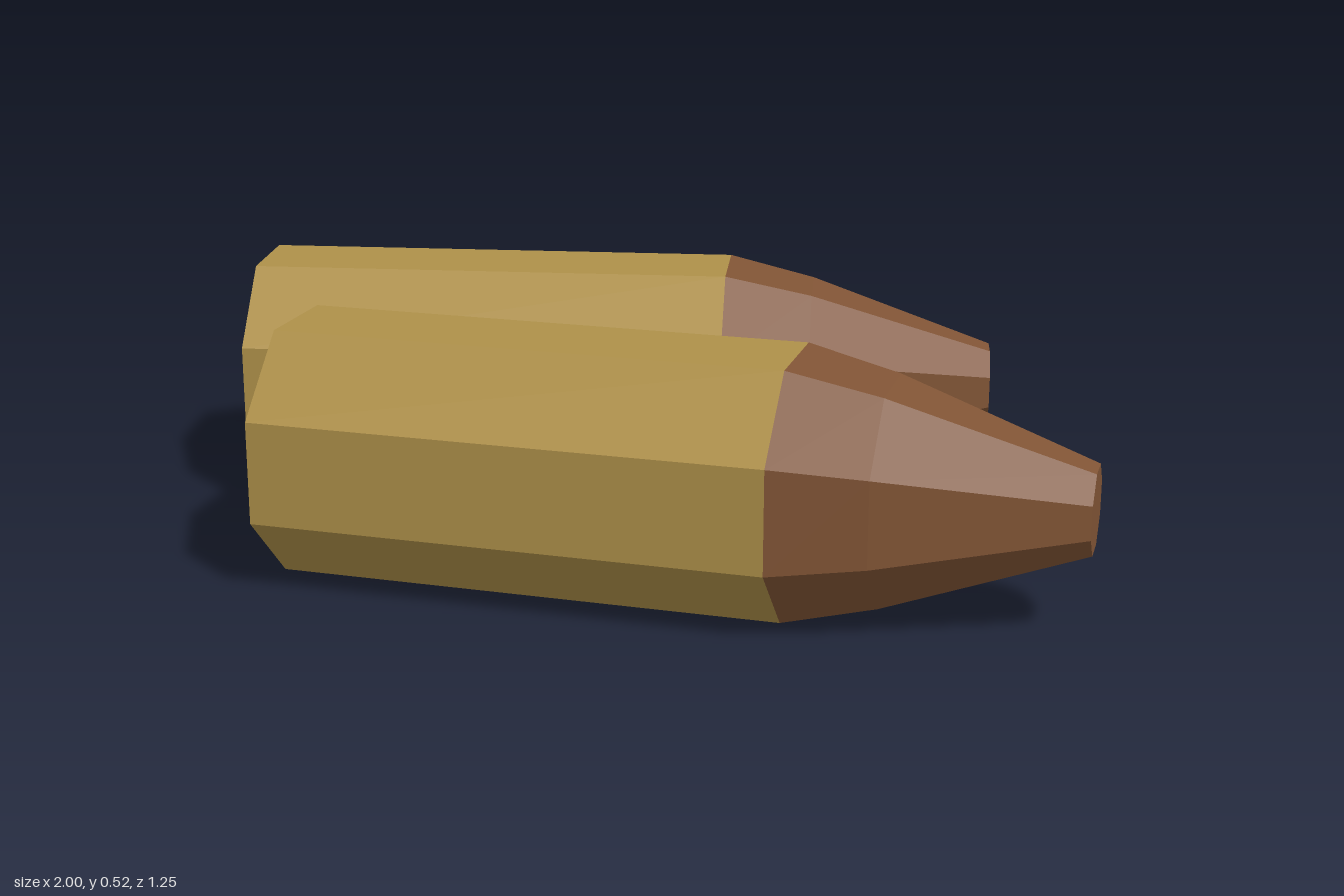
import * as THREE from 'three';

const SIDES = 8;
const APOTHEM = 0.2625;
const CORNER = 1 / Math.cos(Math.PI / SIDES); // flat-to-corner radius ratio

const brass = new THREE.MeshStandardMaterial({ name: 'brass', color: 0xae9049, flatShading: true });
const copper = new THREE.MeshStandardMaterial({ name: 'copper', color: 0x805435, flatShading: true });

// Octagonal turned part along +x; profile is [flat radius, distance along axis]
function turned(name, profile, material) {
  const points = profile.map(([r, d]) => new THREE.Vector2(r * CORNER, d));
  const geometry = new THREE.LatheGeometry(points, SIDES, Math.PI / SIDES);
  geometry.rotateZ(-Math.PI / 2);
  const mesh = new THREE.Mesh(geometry, material);
  mesh.name = name;
  return mesh;
}

// One cartridge: straight case with closed base, tapered nose with blunt tip
function cartridge(name, x, z, angle) {
  const group = new THREE.Group();
  group.name = name;
  group.add(
    turned('case', [[0, 0], [APOTHEM, 0], [APOTHEM, 1.078]], brass),
    turned('nose', [[APOTHEM, 1.078], [0.218, 1.272], [0.084, 1.679], [0, 1.679]], copper),
  );
  group.position.set(x, APOTHEM, z);
  group.rotation.y = angle;
  return group;
}

export function createModel() {
  const model = new THREE.Group();
  model.name = 'cartridgePair';
  model.add(
    cartridge('frontCartridge', -0.685, 0.305, -0.051),
    cartridge('backCartridge', -0.963, -0.219, 0.139),
  );
  return model;
}
